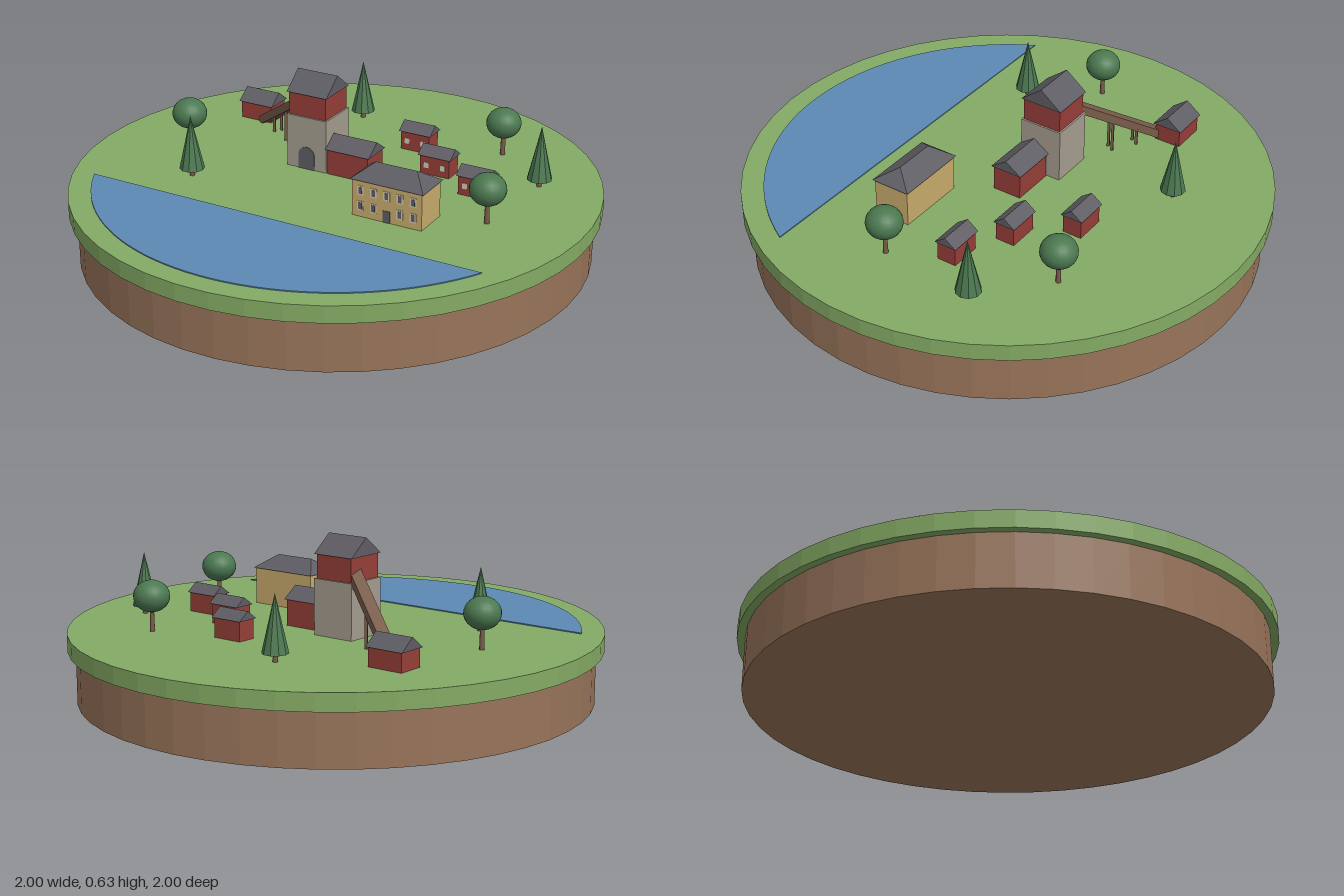
import * as THREE from 'three';

const GROUND = 0.265;
const TURN = -0.35; // every building follows the shoreline

const mat = (name, color) => Object.assign(new THREE.MeshStandardMaterial({ color }), { name });

export function createModel() {
  const root = new THREE.Group();
  root.name = 'islandMine';
  const grass = mat('grass green', 0x84aa64), soil = mat('soil brown', 0x98745a);
  const water = mat('water blue', 0x5c89b4), brick = mat('brick red', 0x963e38);
  const stone = mat('stone grey', 0xa59d8f), ochre = mat('ochre plaster', 0xc8ac6c);
  const slate = mat('slate grey', 0x5f5d64), leaf = mat('leaf green', 0x4b7850);
  const wood = mat('timber brown', 0x785c4a), pale = mat('pale window', 0xd6ccb4);

  const add = (parent, name, geo, material, x = 0, y = 0, z = 0) => {
    const m = new THREE.Mesh(geo, material);
    m.name = name;
    m.position.set(x, y, z);
    parent.add(m);
    return m;
  };
  const flat = (geo) => {
    const g = geo.toNonIndexed();
    g.computeVertexNormals();
    return g;
  };
  const box = (parent, name, material, w, h, d, x, y, z) =>
    add(parent, name, new THREE.BoxGeometry(w, h, d), material, x, y + h / 2, z);

  // Solid roof: a box whose top is drawn in to a ridge (shorter ridge = hipped)
  const roof = (parent, w, d, h, y, ridge = w) => {
    const g = new THREE.BoxGeometry(w, h, d), p = g.attributes.position;
    for (let i = 0; i < p.count; i++) {
      if (p.getY(i) > 0) p.setXYZ(i, Math.sign(p.getX(i)) * ridge / 2, h / 2, 0);
    }
    return add(parent, 'roof', flat(g), slate, 0, y + h / 2, 0);
  };
  const site = (name, x, z) => {
    const g = new THREE.Group();
    g.name = name;
    g.position.set(x, GROUND, z);
    g.rotation.y = TURN;
    root.add(g);
    return g;
  };
  const house = (name, x, z, w, d, wallH, roofH, material = brick, ridge) => {
    const g = site(name, x, z);
    box(g, 'walls', material, w, wallH, d, 0, 0, 0);
    roof(g, w + 0.014, d + 0.014, roofH, wallH, ridge);
    return g;
  };

  // Island disc
  add(root, 'soilDisc', flat(new THREE.CylinderGeometry(0.97, 0.97, 0.2, 48)), soil, 0, 0.1, 0);
  add(root, 'grassDisc', flat(new THREE.CylinderGeometry(1, 1, 0.065, 48)), grass, 0, 0.2325, 0);

  // Lake: circle segment cut off by a straight shore
  const lake = new THREE.Shape();
  lake.absarc(0, 0, 0.915, THREE.MathUtils.degToRad(-172.4), THREE.MathUtils.degToRad(-48), false);
  lake.closePath();
  add(root, 'lake', new THREE.ExtrudeGeometry(lake, { depth: 0.005, bevelEnabled: false, curveSegments: 20 })
    .rotateX(-Math.PI / 2), water, 0, GROUND - 0.001, 0);

  // Winding tower
  const tower = site('tower', -0.095, -0.15);
  box(tower, 'stoneBase', stone, 0.172, 0.21, 0.172, 0, 0, 0);
  box(tower, 'upperStorey', brick, 0.158, 0.09, 0.158, 0, 0.21, 0);
  roof(tower, 0.172, 0.172, 0.067, 0.3);
  const arch = new THREE.Shape();
  arch.moveTo(-0.035, 0);
  arch.lineTo(0.035, 0);
  arch.lineTo(0.035, 0.055);
  arch.absarc(0, 0.055, 0.035, 0, Math.PI, false);
  arch.closePath();
  add(tower, 'archedDoor', new THREE.ExtrudeGeometry(arch, { depth: 0.004, bevelEnabled: false }), slate, 0, 0, 0.085);

  // Engine hall and conveyor house
  house('engineHall', 0.062, -0.063, 0.174, 0.116, 0.1, 0.045);
  house('conveyorHouse', -0.4, -0.57, 0.14, 0.105, 0.07, 0.045);

  // Manor with two rows of windows
  const manor = house('manor', 0.267, 0.28, 0.28, 0.144, 0.142, 0.05, ochre, 0.165);
  const face = 0.072;
  for (let c = -2; c <= 2; c++) {
    for (const y of [0.025, 0.085]) {
      if (c === 0 && y < 0.05) continue;
      box(manor, 'windowFrame', pale, 0.026, 0.036, 0.004, c * 0.053, y, face);
      box(manor, 'windowPane', slate, 0.014, 0.026, 0.006, c * 0.053, y + 0.005, face);
    }
  }
  box(manor, 'door', slate, 0.028, 0.045, 0.004, 0, 0, face);

  // Row of cottages
  for (const [x, z] of [[0.273, -0.343], [0.375, -0.123], [0.537, 0.045]]) {
    const g = house('cottage', x, z, 0.122, 0.076, 0.075, 0.033);
    for (const s of [-1, 1]) box(g, 'window', pale, 0.02, 0.022, 0.004, s * 0.034, 0.026, 0.038);
  }

  // Sloping conveyor on paired posts
  const low = new THREE.Vector3(-0.385, 0.27, -0.52), high = new THREE.Vector3(-0.13, 0.515, -0.195);
  const mid = low.clone().lerp(high, 0.5);
  const belt = add(root, 'conveyor', new THREE.BoxGeometry(0.046, 0.032, low.distanceTo(high)), wood, mid.x, mid.y, mid.z);
  belt.lookAt(high);
  const side = new THREE.Vector3(high.z - low.z, 0, low.x - high.x).normalize();
  for (const t of [0.3, 0.55]) {
    const p = low.clone().lerp(high, t);
    for (const s of [-0.016, 0.016]) {
      box(root, 'conveyorPost', wood, 0.01, p.y - GROUND, 0.01, p.x + side.x * s, GROUND, p.z + side.z * s);
    }
  }

  // Trees
  const trunk = (x, z, h) =>
    add(root, 'trunk', new THREE.CylinderGeometry(0.008, 0.01, h, 8), wood, x, GROUND + h / 2, z);
  for (const [x, z] of [[0.005, -0.628], [-0.54, 0.06], [0.758, -0.06]]) {
    trunk(x, z, 0.04);
    add(root, 'pineCrown', flat(new THREE.ConeGeometry(0.048, 0.21, 10)), leaf, x, 0.4, z);
  }
  for (const [x, z] of [[-0.62, -0.23], [0.6, -0.337], [0.594, 0.289]]) {
    trunk(x, z, 0.09);
    add(root, 'roundCrown', new THREE.SphereGeometry(0.068, 20, 14), leaf, x, 0.397, z).scale.y = 0.88;
  }
  return root;
}
